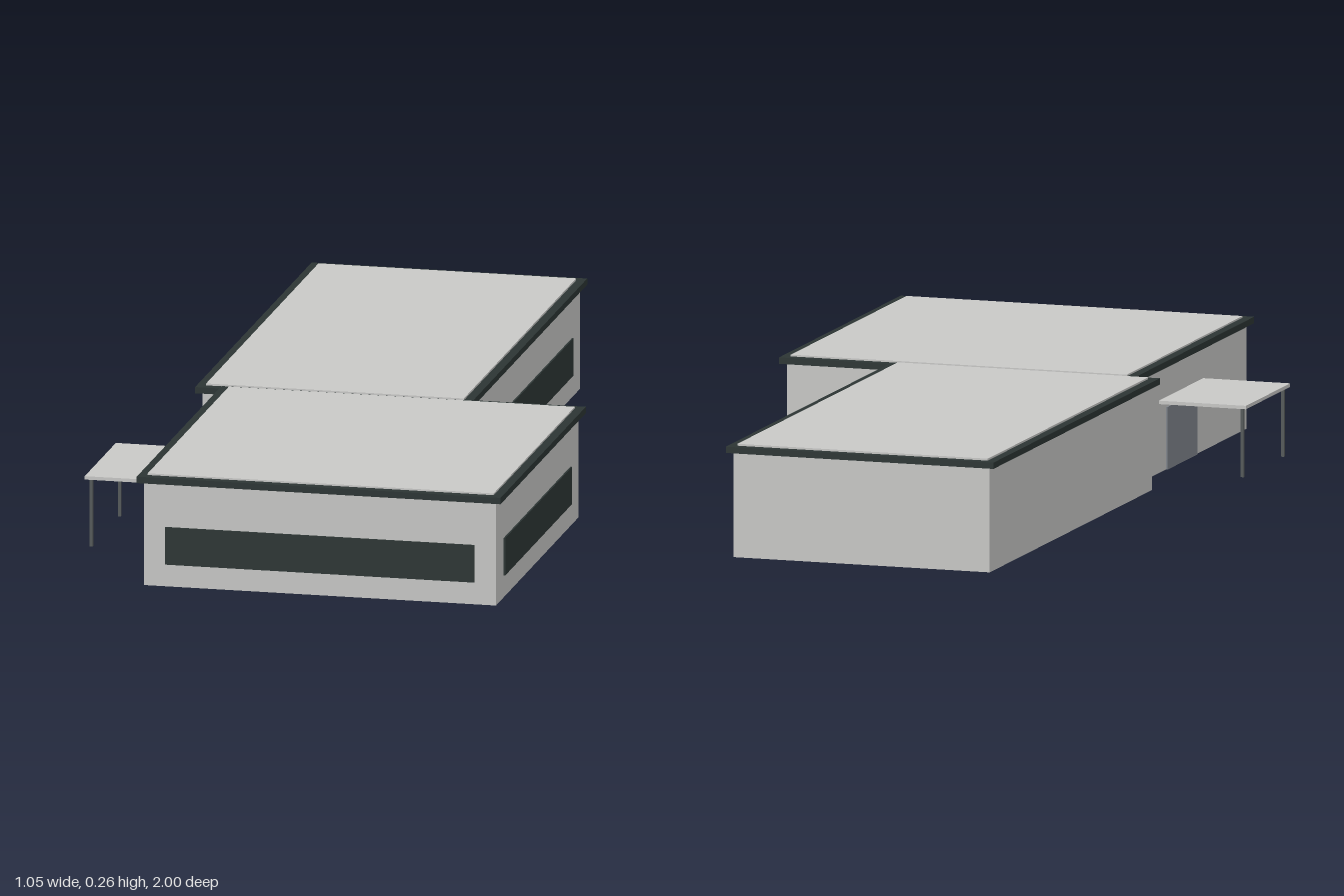
import * as THREE from 'three';

const mat = (name, color, side = THREE.FrontSide) => {
  const m = new THREE.MeshStandardMaterial({ color, side });
  m.name = name;
  return m;
};

export function createModel() {
  const wall = mat('wall grey', 0xc8c8c6, THREE.DoubleSide);
  const roof = mat('roof grey', 0xc8c8c6);
  const trim = mat('dark trim', 0x2c3534);
  const glass = mat('dark glass', 0x2d3635);
  const doorPaint = mat('door blue grey', 0x80858c);
  const metal = mat('post metal', 0x555a5a);

  const model = new THREE.Group();
  model.name = 'building';

  // Box given by its two extremes on each axis
  function box(parent, name, material, [x0, x1], [y0, y1], [z0, z1]) {
    const mesh = new THREE.Mesh(new THREE.BoxGeometry(x1 - x0, y1 - y0, z1 - z0), material);
    mesh.position.set((x0 + x1) / 2, (y0 + y1) / 2, (z0 + z1) / 2);
    mesh.name = name;
    parent.add(mesh);
  }

  const WALL_TOP = 0.244, OVERHANG = 0.014, T = 0.004;
  const SILL = [0.052, 0.14];

  // Open-bottomed block: four thin walls, overhanging dark slab, raised roof panel
  function block(name, [x0, x1], [z0, z1], slabTop) {
    const g = new THREE.Group();
    g.name = name;
    const cx = (x0 + x1) / 2, cz = (z0 + z1) / 2;
    const sides = [
      ['frontWall', x1 - x0, cx, z1, 0],
      ['backWall', x1 - x0, cx, z0, Math.PI],
      ['leftWall', z1 - z0, x1, cz, Math.PI / 2],
      ['rightWall', z1 - z0, x0, cz, -Math.PI / 2],
    ];
    for (const [wallName, width, x, z, turn] of sides) {
      const mesh = new THREE.Mesh(new THREE.PlaneGeometry(width, WALL_TOP), wall);
      mesh.position.set(x, WALL_TOP / 2, z);
      mesh.rotation.y = turn;
      mesh.name = wallName;
      g.add(mesh);
    }
    const grow = (a, b, d) => [a - d, b + d];
    box(g, 'roofTrim', trim, grow(x0, x1, OVERHANG), [0.243, slabTop], grow(z0, z1, OVERHANG));
    box(g, 'roofPanel', roof, grow(x0, x1, -0.007), [0.25, 0.262], grow(z0, z1, -0.007));
    model.add(g);
    return g;
  }

  // Front block with a window to the front and one to the left
  const front = block('frontBlock', [-0.315, 0.51], [0.158, 0.986], 0.258);
  box(front, 'frontWindow', glass, [-0.265, 0.46], SILL, [0.986 - T, 0.986 + T]);
  box(front, 'sideWindow', glass, [0.51 - T, 0.51 + T], SILL, [0.24, 0.91]);
  box(front, 'door', doorPaint, [-0.315 - T, -0.315 + T], [0, 0.145], [0.42, 0.63]);

  // Long rear wing
  const wing = block('rearWing', [-0.372, 0.246], [-0.986, 0.156], 0.2575);
  box(wing, 'sideWindow', glass, [0.246 - T, 0.246 + T], SILL, [-0.905, 0.085]);
  box(wing, 'endWindow', glass, [-0.321, 0.196], SILL, [0.156 - T, 0.156 + T]);
  box(wing, 'ceiling', roof, [-0.371, 0.245], [0.24, 0.2425], [-0.985, 0.155]);

  // Entrance canopy on two posts
  const canopy = new THREE.Group();
  canopy.name = 'canopy';
  box(canopy, 'canopyRoof', roof, [-0.525, -0.315], [0.16, 0.168], [0.37, 0.682]);
  for (const z of [0.384, 0.668]) {
    box(canopy, 'canopyPost', metal, [-0.516, -0.509], [0, 0.16], [z - 0.0035, z + 0.0035]);
  }
  model.add(canopy);

  return model;
}
